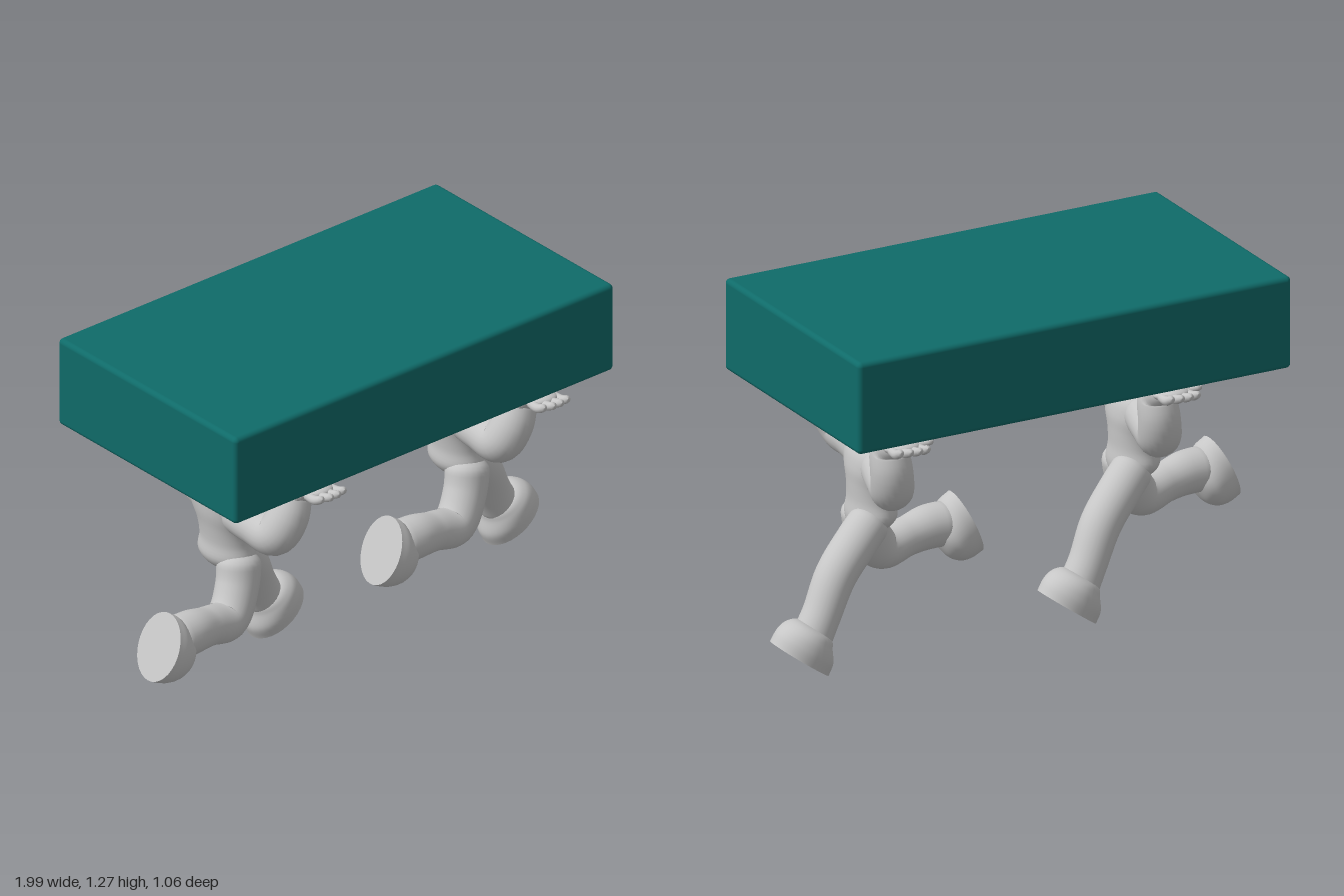
import * as THREE from 'three';
import { RoundedBoxGeometry } from 'three/addons/geometries/RoundedBoxGeometry.js';

const grey = new THREE.MeshStandardMaterial({ color: 0xc6c6c6 });
grey.name = 'figure grey';
const teal = new THREE.MeshStandardMaterial({ color: 0x0f6b69 });
teal.name = 'box teal';

const V = (x, y, z) => new THREE.Vector3(x, y, z);

function part(name, geometry, material = grey) {
  const mesh = new THREE.Mesh(geometry, material);
  mesh.name = name;
  return mesh;
}

// Smooth skin over rings; each ring is { c: centre, n, b: scaled side vectors }
function skin(rings, sides = 28) {
  const pos = [], idx = [];
  rings.forEach(({ c, n, b }, i) => {
    for (let j = 0; j < sides; j++) {
      const a = (j / sides) * Math.PI * 2;
      const p = c.clone().addScaledVector(n, Math.cos(a)).addScaledVector(b, Math.sin(a));
      pos.push(p.x, p.y, p.z);
      if (i === rings.length - 1) continue;
      const k = (j + 1) % sides, lo = i * sides, hi = lo + sides;
      idx.push(lo + j, lo + k, hi + j, lo + k, hi + k, hi + j);
    }
  });
  const g = new THREE.BufferGeometry();
  g.setAttribute('position', new THREE.Float32BufferAttribute(pos, 3));
  g.setIndex(idx);
  g.computeVertexNormals();
  return g;
}

// Round limb through points [x, y, z, radius] with rounded ends
function limb(points, steps = 36, sides = 24) {
  const path = new THREE.CatmullRomCurve3(points.map(p => V(p[0], p[1], p[2])));
  const radii = new THREE.CatmullRomCurve3(points.map(p => V(p[3], 0, 0)), false, 'catmullrom');
  const frames = path.computeFrenetFrames(steps);
  const length = path.getLength();
  const rings = [];
  for (let i = 0; i <= steps; i++) {
    const u = i / steps;
    let r = radii.getPoint(path.getUtoTmapping(u)).x;
    const k = Math.min(1, (Math.min(u, 1 - u) * length) / (r * 0.7));
    r *= Math.max(0.01, Math.sqrt(1 - (1 - k) ** 2));
    rings.push({
      c: path.getPointAt(u),
      n: frames.normals[i].clone().multiplyScalar(r),
      b: frames.binormals[i].clone().multiplyScalar(r),
    });
  }
  return skin(rings, sides);
}

// Upright form through sections [centre x, y, half depth x, half width z]
function stack(sections, steps = 28) {
  const at = new THREE.CatmullRomCurve3(sections.map(s => V(s[0], s[1], 0)), false, 'catmullrom');
  const size = new THREE.CatmullRomCurve3(sections.map(s => V(s[2], s[3], 0)), false, 'catmullrom');
  const rings = [];
  for (let i = 0; i <= steps; i++) {
    const s = size.getPoint(i / steps);
    rings.push({
      c: at.getPoint(i / steps),
      n: V(0, 0, Math.max(0.001, s.y)),
      b: V(Math.max(0.001, s.x), 0, 0),
    });
  }
  return skin(rings, 32);
}

// Boot with a flat sole; toe along local +x, sole facing local -y
function foot(name, x, y, z, angle) {
  const g = new THREE.Group();
  g.name = name;
  g.add(part('boot', stack([
    [0, 0, 0.125, 0.1], [0.006, 0.045, 0.12, 0.104], [0.015, 0.085, 0.097, 0.096],
    [0.01, 0.115, 0.068, 0.07], [0.01, 0.128, 0.001, 0.001],
  ])));
  const sole = new THREE.CircleGeometry(1, 32);
  sole.rotateX(Math.PI / 2);
  sole.scale(0.125, 1, 0.1);
  g.add(part('sole', sole));
  g.position.set(x, y, z);
  g.rotation.z = angle;
  return g;
}

// Flat open hand reaching outward; side is +1 or -1 along z
function hand(name, x, side) {
  const g = new THREE.Group();
  g.name = name;
  const palm = new THREE.SphereGeometry(1, 24, 16);
  palm.scale(0.066, 0.024, 0.065);
  palm.rotateX(side * -0.2);
  palm.translate(x, 0.9, side * 0.415);
  g.add(part('palm', palm));
  for (let i = 0; i < 4; i++) {
    const fx = x + (i - 1.5) * 0.034;
    const tip = 0.532 - 0.011 * Math.abs(i - 1.4);
    g.add(part('finger', limb([
      [fx * 0.9 + x * 0.1, 0.9, side * 0.42, 0.017],
      [fx, 0.902, side * 0.475, 0.017],
      [fx, 0.922, side * tip, 0.013],
    ], 16, 12)));
  }
  g.add(part('thumb', limb([
    [x - 0.03, 0.892, side * 0.39, 0.02],
    [x - 0.075, 0.902, side * 0.415, 0.017],
    [x - 0.105, 0.918, side * 0.445, 0.012],
  ], 16, 12)));
  return g;
}

// Running figure heading toward +x, arms raised
function figure(name) {
  const g = new THREE.Group();
  g.name = name;

  const head = part('head', new THREE.SphereGeometry(0.06, 32, 24));
  head.position.set(-0.588, 0.842, 0);
  g.add(head);

  g.add(part('torso', stack([
    [-0.495, 0.43, 0.001, 0.001], [-0.5, 0.455, 0.06, 0.075], [-0.51, 0.5, 0.085, 0.118],
    [-0.512, 0.56, 0.08, 0.11], [-0.515, 0.62, 0.083, 0.118], [-0.52, 0.68, 0.088, 0.15],
    [-0.53, 0.74, 0.08, 0.175], [-0.55, 0.78, 0.052, 0.115], [-0.56, 0.795, 0.001, 0.001],
  ], 40)));

  // Arms: across from the shoulder, then up to the wrist
  g.add(part('leftArm', limb([
    [-0.53, 0.705, 0.06, 0.08], [-0.545, 0.7, 0.2, 0.074], [-0.545, 0.705, 0.3, 0.076],
    [-0.515, 0.775, 0.33, 0.075], [-0.475, 0.86, 0.32, 0.067], [-0.462, 0.89, 0.365, 0.046],
    [-0.462, 0.9, 0.43, 0.02],
  ], 48)));
  g.add(part('rightArm', limb([
    [-0.52, 0.705, -0.06, 0.08], [-0.475, 0.695, -0.2, 0.074], [-0.45, 0.7, -0.295, 0.076],
    [-0.435, 0.775, -0.322, 0.075], [-0.43, 0.86, -0.315, 0.067], [-0.43, 0.885, -0.365, 0.046],
    [-0.43, 0.897, -0.43, 0.02],
  ], 48)));
  g.add(hand('leftHand', -0.462, 1), hand('rightHand', -0.43, -1));

  // Left leg trails behind, right leg strides forward
  g.add(part('leftLeg', limb([
    [-0.505, 0.53, 0.06, 0.08], [-0.535, 0.41, 0.085, 0.077], [-0.605, 0.315, 0.115, 0.076],
    [-0.71, 0.33, 0.135, 0.07], [-0.8, 0.345, 0.15, 0.078], [-0.91, 0.345, 0.155, 0.08],
  ], 44)));
  g.add(foot('leftFoot', -0.95, 0.342, 0.155, -1.989));
  g.add(part('rightLeg', limb([
    [-0.51, 0.51, -0.04, 0.075], [-0.42, 0.435, -0.075, 0.076], [-0.32, 0.338, -0.115, 0.074],
    [-0.25, 0.215, -0.145, 0.07], [-0.19, 0.11, -0.16, 0.075],
  ], 44)));
  g.add(foot('rightFoot', -0.158, 0.073, -0.16, 0.615));

  // Pivot at the figure's middle
  g.children.forEach(c => { c.position.x += 0.52; });
  return g;
}

export function createModel() {
  const model = new THREE.Group();
  model.name = 'carriedBox';

  const box = part('box', new RoundedBoxGeometry(1.72, 0.34, 0.954, 4, 0.018), teal);
  box.position.set(-0.015, 1.1, 0);
  model.add(box);

  const rear = figure('rearCarrier');
  rear.position.x = -0.52;
  const lead = figure('leadCarrier');
  lead.position.x = 0.52;
  lead.rotation.y = -0.06;
  model.add(rear, lead);
  return model;
}
